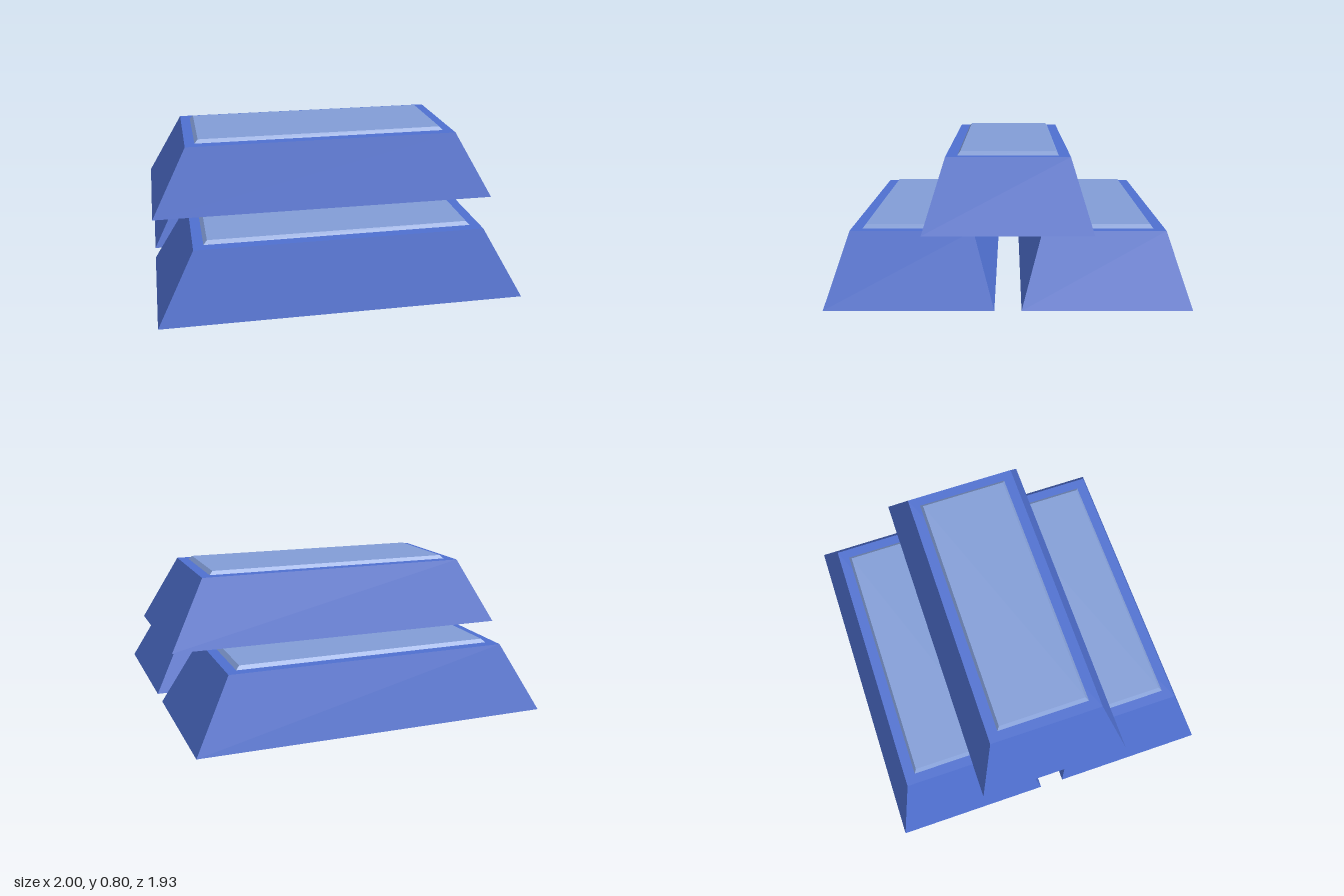
import * as THREE from 'three';

const bodyBlue = new THREE.MeshStandardMaterial({ color: 0x4f70d0 });
bodyBlue.name = 'bodyBlue';
const panelBlue = new THREE.MeshStandardMaterial({ color: 0x829dd6 });
panelBlue.name = 'panelBlue';

// Box standing on y = 0 whose top is narrower than its base (half sizes)
function taperedBlock(baseX, baseZ, topX, topZ, height) {
  const geometry = new THREE.BoxGeometry(2, height, 2);
  geometry.translate(0, height / 2, 0);
  const p = geometry.attributes.position;
  for (let i = 0; i < p.count; i++) {
    const top = p.getY(i) > height / 2;
    p.setX(i, p.getX(i) * (top ? topX : baseX));
    p.setZ(i, p.getZ(i) * (top ? topZ : baseZ));
  }
  geometry.computeVertexNormals();
  return geometry;
}

const bodyGeometry = taperedBlock(1, 0.447, 0.795, 0.332, 0.38);
const panelGeometry = taperedBlock(0.738, 0.271, 0.718, 0.256, 0.02);

// One ingot: sloped body with a raised panel on top
function createIngot(name, y, z) {
  const ingot = new THREE.Group();
  ingot.name = name;
  const body = new THREE.Mesh(bodyGeometry, bodyBlue);
  body.name = 'ingotBody';
  const panel = new THREE.Mesh(panelGeometry, panelBlue);
  panel.name = 'raisedPanel';
  panel.position.y = 0.38;
  ingot.add(body, panel);
  ingot.position.set(0, y, z);
  return ingot;
}

export function createModel() {
  const model = new THREE.Group();
  model.name = 'ingotStack';
  model.add(
    createIngot('frontIngot', 0, 0.518),
    createIngot('backIngot', 0, -0.518),
    createIngot('topIngot', 0.4, 0),
  );
  return model;
}
